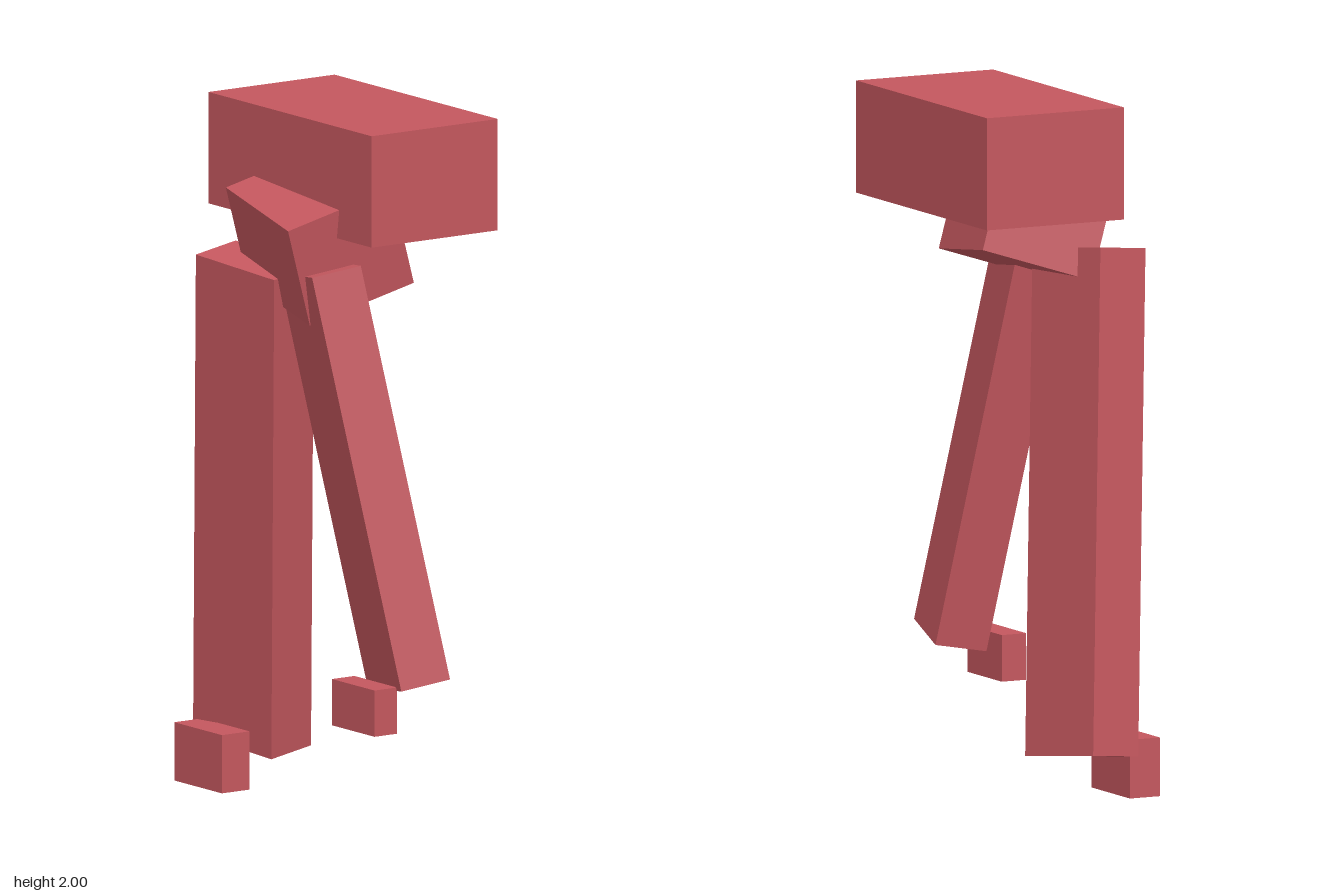
import * as THREE from 'three';

const material = new THREE.MeshStandardMaterial({ color: 0xc4575e, flatShading: true });

// Box spanned by three edges (across, up, forward) from its back, bottom, right-hand corner
function block(name, corner, across, up, forward) {
  const [a, u, f] = [across, up, forward].map((e) => new THREE.Vector3(...e));
  const geometry = new THREE.BoxGeometry(1, 1, 1).translate(0.5, 0.5, 0.5);
  geometry.applyMatrix4(new THREE.Matrix4().makeBasis(a, u, f).setPosition(...corner));
  geometry.computeVertexNormals();
  const mesh = new THREE.Mesh(geometry, material);
  mesh.name = name;
  return mesh;
}

// Upright box given by its lowest corner and size
const uprightBlock = (name, corner, [w, h, d]) =>
  block(name, corner, [w, 0, 0], [0, h, 0], [0, 0, d]);

export function createModel() {
  const model = new THREE.Group();
  model.name = 'walker';
  model.add(
    // Upper body and the tilted hip block below it
    uprightBlock('body', [-0.42, 1.675, -0.3], [0.805, 0.325, 0.443]),
    block('hips', [-0.167, 1.575, -0.18], [0.405, -0.055, 0.07], [0.023, 0.29, 0.093], [-0.071, -0.101, 0.315]),
    // Standing right leg, raised left leg
    block('rightLeg', [-0.494, 0.141, 0.005], [0.295, -0.035, -0.065], [0.178, 1.44, 0.117], [0.033, -0.017, 0.163]),
    block('leftLeg', [0.226, 0.374, -0.127], [0.265, 0.035, 0.07], [-0.22, 1.19, 0.157], [-0.034, -0.024, 0.147]),
    // Feet
    uprightBlock('rightFoot', [-0.44, 0, 0.152], [0.235, 0.17, 0.097]),
    uprightBlock('leftFoot', [0.21, 0.255, 0.079], [0.21, 0.135, 0.079]),
  );
  return model;
}
